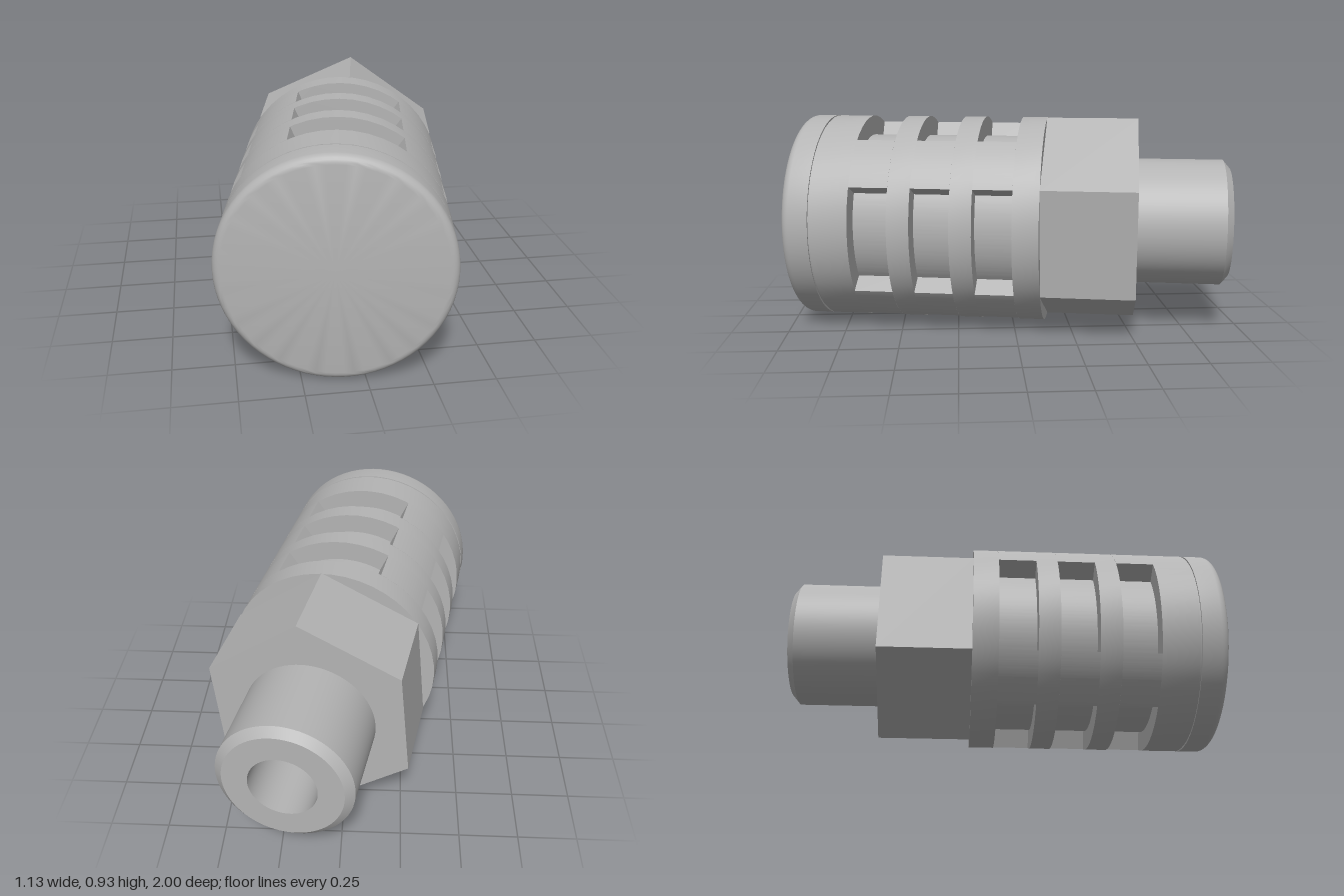
import * as THREE from 'three';
import { toCreasedNormals } from 'three/addons/utils/BufferGeometryUtils.js';

const BODY_R = 0.4625, FLOOR_R = 0.375;
const TURN = THREE.MathUtils.degToRad(84.7); // shared roll of the hexagon and the slots

export function createModel() {
  const metal = new THREE.MeshStandardMaterial({ color: 0xb4b4b4 });
  metal.name = 'grey metal';

  const model = new THREE.Group();
  model.name = 'slottedFitting';
  const add = (name, geometry) => {
    const mesh = new THREE.Mesh(toCreasedNormals(geometry, 0.5), metal);
    mesh.name = name;
    model.add(mesh);
  };

  // Extrude an outline along the main axis (z) between two stations
  const extrude = (name, shape, z0, z1) => {
    const g = new THREE.ExtrudeGeometry(shape, { depth: z1 - z0, bevelEnabled: false, curveSegments: 24 });
    add(name, g.translate(0, 0, z0));
  };

  // Turn a [radius, z] profile around the main axis
  const turned = (name, profile) => {
    const g = new THREE.LatheGeometry(profile.map(([r, z]) => new THREE.Vector2(r, z)), 72);
    add(name, g.rotateX(Math.PI / 2));
  };

  const disc = (r) => new THREE.Shape().absarc(0, 0, r, 0, Math.PI * 2, false);

  // Outline with four 60 degree recesses separated by 30 degree ribs
  const slotted = new THREE.Shape();
  for (let i = 0; i < 4; i++) {
    const a = TURN + i * Math.PI / 2, h = Math.PI / 6;
    slotted.absarc(0, 0, FLOOR_R, a - h, a + h, false);
    slotted.absarc(0, 0, BODY_R, a + h, a + Math.PI / 2 - h, false);
  }
  slotted.closePath();

  // Body: solid rings alternating with slotted sections
  const stations = [-0.165, -0.053, 0.115, 0.21, 0.378, 0.474, 0.642, 0.806];
  for (let i = 0; i < stations.length - 1; i++) {
    const solid = i % 2 === 0;
    extrude(solid ? 'bodyRing' : 'slottedSection', solid ? disc(BODY_R) : slotted, stations[i], stations[i + 1]);
  }

  // Thin groove and the rounded end cap
  extrude('capGroove', disc(BODY_R - 0.007), 0.806, 0.814);
  const cap = [[0, 0.814], [BODY_R, 0.814]];
  const fillet = 0.035;
  for (let i = 0; i <= 6; i++) {
    const a = i / 6 * Math.PI / 2;
    cap.push([BODY_R - fillet + fillet * Math.cos(a), 0.935 - fillet + fillet * Math.sin(a)]);
  }
  cap.push([0, 0.935]);
  turned('endCap', cap);

  // Hexagonal wrench section with the bore through it
  const hex = new THREE.Shape();
  for (let i = 0; i < 6; i++) {
    const a = TURN + i * Math.PI / 3;
    hex[i ? 'lineTo' : 'moveTo'](0.466 * Math.cos(a), 0.466 * Math.sin(a));
  }
  hex.closePath();
  hex.holes.push(new THREE.Path().absarc(0, 0, 0.141, 0, Math.PI * 2, true));
  extrude('hexNut', hex, -0.567, -0.165);

  // Chamfered spigot with its bore
  turned('spigot', [[0.14, -0.165], [0.14, -0.973], [0.245, -0.973], [0.28, -0.943], [0.28, -0.56]]);

  // The whole fitting lies slightly turned about the vertical
  model.rotation.y = -0.178;
  model.position.set(0.042, 0.465, 0);
  const root = new THREE.Group();
  root.name = 'model';
  root.add(model);
  return root;
}
